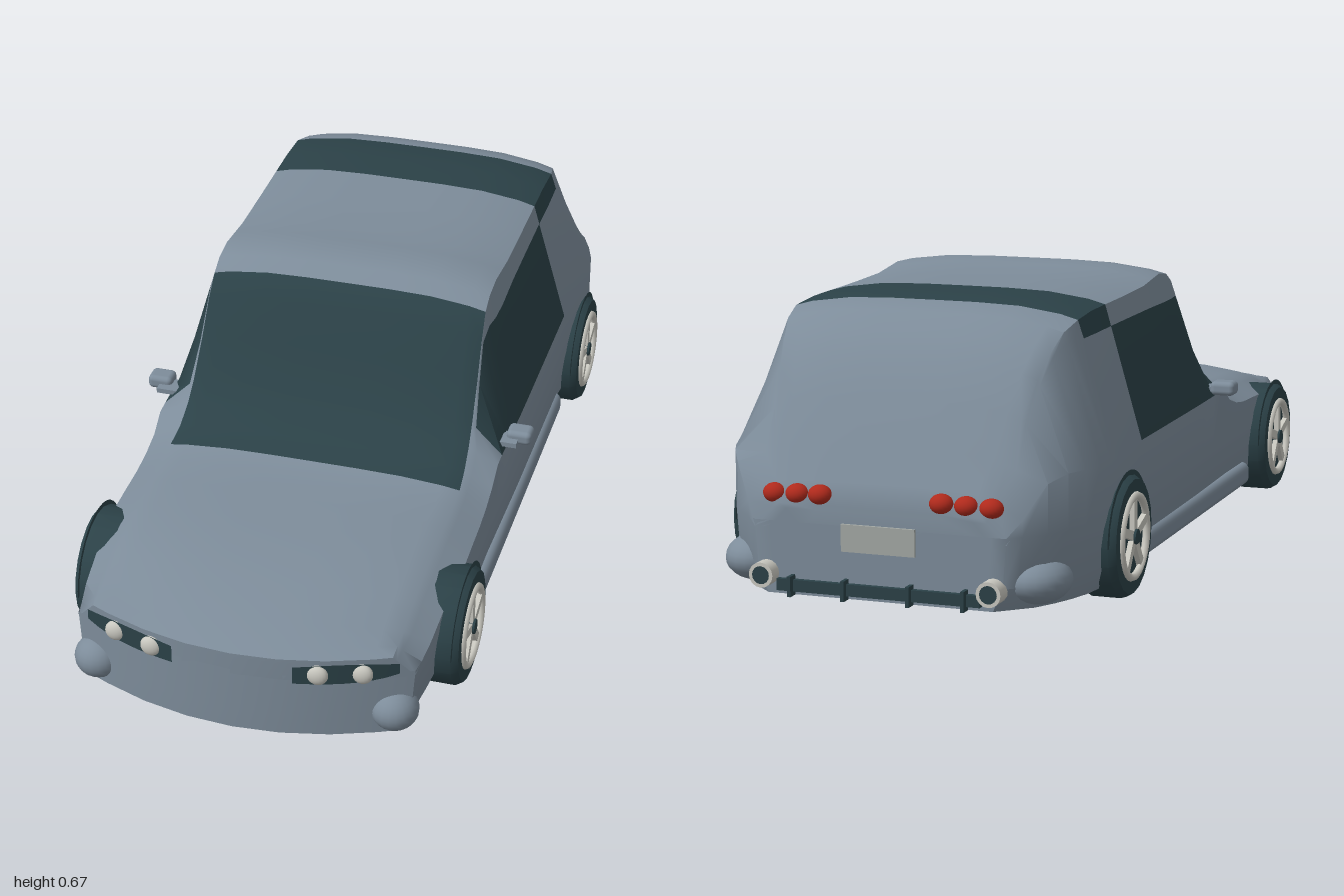
import * as THREE from 'three';
import { toCreasedNormals } from 'three/addons/utils/BufferGeometryUtils.js';
import { RoundedBoxGeometry } from 'three/addons/geometries/RoundedBoxGeometry.js';

const mat = (name, color, side = THREE.FrontSide) => {
  const m = new THREE.MeshStandardMaterial({ color, side });
  m.name = name;
  return m;
};

// Linear lookup in a table of [z, value] pairs, z falling
function look(table, z) {
  if (z >= table[0][0]) return table[0][1];
  for (let i = 1; i < table.length; i++) {
    const [z0, v0] = table[i - 1], [z1, v1] = table[i];
    if (z >= z1) return v0 + (v1 - v0) * (z0 - z) / (z0 - z1);
  }
  return table[table.length - 1][1];
}

// Body profiles along z: roof line, side half width, roof half width, crown
const TOP = [[1, .243], [.96, .256], [.9, .272], [.8, .293], [.7, .307], [.6, .314], [.42, .32], [.36, .328], [.3, .345],
  [.25, .378], [.21, .42], [.15, .505], [.1, .59], [.06, .64], [.02, .662], [-.04, .67], [-.16, .657], [-.3, .655],
  [-.54, .655], [-.635, .648], [-.7, .63], [-.75, .592], [-.8, .54], [-.85, .46], [-.9, .365], [-.94, .29], [-.965, .24]];
const SIDE = [[1, .39], [.9, .402], [.6, .418], [.3, .415], [0, .42], [-.445, .422], [-.6, .437], [-.7, .435],
  [-.76, .425], [-.83, .4], [-.9, .36], [-.965, .29]];
const ROOF = [[1, .345], [.36, .352], [.06, .333], [-.635, .335], [-.7, .325], [-.8, .3], [-.9, .265], [-.965, .235]];
const CROWN = [[1, 0], [.9, .02], [.36, .016], [.06, .024], [-.635, .028], [-.8, .03], [-.9, .02], [-.965, 0]];
const STATIONS = [1, .96, .9, .8, .7, .6, .5, .42, .36, .3, .25, .21, .15, .1, .06, .02, -.04, -.1, -.16, -.3,
  -.445, -.54, -.635, -.67, -.7, -.75, -.8, -.85, -.9, -.94, -.965];
const ACROSS = [0, .3, .6, .88, 1];

// The nose sweeps back towards its corners
const sweep = (x, z) => z - .11 * (x / .4) ** 2 * Math.max(0, (z - .5) / .5);

// Half cross-section from the middle of the floor to the middle of the roof
function halfSection(z) {
  const T = look(TOP, z), W = look(SIDE, z), R = look(ROOF, z), C = look(CROWN, z);
  const edge = T - C, belt = Math.min(.325, T - .055), glassTop = Math.min(.58, edge - .01);
  const f = (glassTop - belt) / (edge - belt);
  return [
    ...ACROSS.map(t => [t * (W - .03), .04]),
    [W - .008, .09], [W, .2], [W, belt], [W + (R - W) * f, glassTop],
    ...ACROSS.slice().reverse().map(t => [t * R, T - C * t ** 4]),
  ];
}

function bodyGeometry() {
  const pos = [], paint = [], glass = [];
  const add = (x, y, z) => pos.push(x, y, sweep(x, z)) / 3 - 1;
  const rings = STATIONS.map(z => {
    const half = halfSection(z);
    const ring = [...half, ...half.slice(1, -1).reverse().map(([x, y]) => [-x, y])];
    return ring.map(([x, y]) => add(x, y, z));
  });
  const n = rings[0].length;
  for (let s = 0; s < rings.length - 1; s++) {
    const zm = (STATIONS[s] + STATIONS[s + 1]) / 2;
    for (let i = 0; i < n; i++) {
      const h = Math.min(i, n - 1 - i), j = (i + 1) % n;
      const isGlass = (h === 7 && zm < .21 && zm > -.445)      // side windows
        || (h >= 9 && zm < .36 && zm > .06)                    // windscreen
        || (h >= 8 && zm < -.445 && zm > -.635);               // rear roof band
      const [a, b, c, d] = [rings[s][i], rings[s + 1][i], rings[s + 1][j], rings[s][j]];
      (isGlass ? glass : paint).push(a, b, c, a, c, d);
    }
  }
  // Nose and tail faces
  const cols = [...ACROSS.slice(1).reverse().map(t => -t), ...ACROSS];
  for (const [z, front] of [[1, true], [-.965, false]]) {
    const rows = halfSection(z).slice(4, 10).map(([x, y]) => cols.map(t => add(x * t, y, z)));
    for (let r = 0; r < rows.length - 1; r++) for (let c = 0; c < cols.length - 1; c++) {
      const [p, q, u, v] = [rows[r][c], rows[r][c + 1], rows[r + 1][c + 1], rows[r + 1][c]];
      paint.push(...(front ? [p, q, u, p, u, v] : [p, u, q, p, v, u]));
    }
  }
  const g = new THREE.BufferGeometry();
  g.setAttribute('position', new THREE.Float32BufferAttribute(pos, 3));
  g.setIndex([...paint, ...glass]);
  g.addGroup(0, paint.length, 0);
  g.addGroup(paint.length, glass.length, 1);
  return toCreasedNormals(g, .75);
}

export function createModel() {
  const paint = mat('body paint', 0x7d8c9a);
  const dark = mat('dark glass and rubber', 0x2b4147, THREE.DoubleSide);
  const light = mat('light metal', 0xc9c8c0);
  const red = mat('red lamp', 0xb02a1c);
  const plateMat = mat('plate grey', 0xa3a8a4);

  const car = new THREE.Group();
  car.name = 'car';
  const put = (name, geo, material, x = 0, y = 0, z = 0, parent = car) => {
    const m = new THREE.Mesh(geo, material);
    m.name = name;
    m.position.set(x, y, z);
    parent.add(m);
    return m;
  };

  put('body', bodyGeometry(), [paint, dark]);

  // Wheels: axis along x, outer face towards +x
  const tyreGeo = toCreasedNormals(new THREE.LatheGeometry(
    [[.02, -.05], [.125, -.05], [.138, -.034], [.138, .034], [.128, .05], [.098, .05], [.094, .04], [0, .04]]
      .map(p => new THREE.Vector2(...p)), 20).rotateZ(-Math.PI / 2), .6);
  const rimGeo = new THREE.TorusGeometry(.091, .009, 8, 28).rotateY(Math.PI / 2);
  const hubGeo = new THREE.CylinderGeometry(.017, .02, .022, 12).rotateZ(-Math.PI / 2);
  const spokeGeo = new THREE.BoxGeometry(.012, .075, .02).translate(0, .052, 0);
  const archGeo = new THREE.CircleGeometry(.147, 24, 0, Math.PI).rotateY(Math.PI / 2);
  for (const side of [1, -1]) for (const [end, z, x] of [['front', .63, .402], ['rear', -.6, .405]]) {
    const wheel = new THREE.Group();
    wheel.name = end + 'Wheel';
    wheel.position.set(side * x, .14, z);
    wheel.rotation.y = side > 0 ? 0 : Math.PI;
    put('tyre', tyreGeo, dark, 0, 0, 0, wheel);
    put('rim', rimGeo, light, .05, 0, 0, wheel);
    put('hub', hubGeo, dark, .048, 0, 0, wheel);
    for (let i = 0; i < 5; i++) put('spoke', spokeGeo, light, .048, 0, 0, wheel).rotation.x = i * Math.PI * .4;
    put('wheelArch', archGeo, dark, .037, 0, 0, wheel);
    car.add(wheel);
  }

  const ball = new THREE.SphereGeometry(1, 20, 14);
  const sillGeo = new RoundedBoxGeometry(.05, .058, .9, 3, .02);
  const mirrorGeo = new RoundedBoxGeometry(.06, .034, .05, 3, .012);
  const pipeGeo = new THREE.CylinderGeometry(.028, .028, .065, 16).rotateX(Math.PI / 2);
  const boreGeo = new THREE.CircleGeometry(.02, 16).rotateY(Math.PI);
  for (const s of [1, -1]) {
    put('sill', sillGeo, paint, s * .402, .076, .01);
    // Door mirror on a short arm
    put('mirror', mirrorGeo, paint, s * .445, .348, .145);
    put('mirrorArm', new THREE.BoxGeometry(.05, .012, .05), paint, s * .42, .342, .165);
    // Bumper corner bulges
    put('frontBumperBulge', ball, paint, s * .345, .092, .9).scale.set(.055, .05, .055);
    put('rearBumperBulge', ball, paint, s * .325, .095, -.865).scale.set(.075, .053, .085);

    // Headlight panel bent round the nose, tapering outwards
    const panel = new THREE.PlaneGeometry(.222, .05, 8, 1);
    const p = panel.attributes.position;
    for (let i = 0; i < p.count; i++) {
      const t = p.getX(i) / .222 * s + .5, x = s * (.138 + .222 * t);
      const y = p.getY(i) > 0 ? .226 + .008 * Math.sin(t * Math.PI) : .182 + .018 * t ** 4;
      p.setXYZ(i, x, y, sweep(x, 1) + .003);
    }
    panel.computeVertexNormals();
    put('headlightPanel', panel, dark);
    for (const x of [.19, .283]) put('headlight', ball, light, s * x, .206, sweep(x, 1)).scale.set(.025, .025, .015);

    // Tail lamps and exhaust
    for (const x of [.14, .195, .25])
      put('tailLamp', ball, red, s * x, .262 - (x - .14) * .04, -.953 + (x - .14) * .08).scale.set(.027, .022, .024);
    put('exhaust', pipeGeo, light, s * .262, .085, -.9675);
    put('exhaustBore', boreGeo, dark, s * .262, .085, -1.0005);
    for (const x of [.075, .2]) put('diffuserFin', new THREE.BoxGeometry(.008, .045, .04), dark, s * x, .062, -.972);
  }

  put('diffuser', new THREE.BoxGeometry(.47, .026, .02), dark, 0, .062, -.968);
  put('rearPlate', new THREE.BoxGeometry(.17, .06, .008), plateMat, 0, .175, -.968);
  return car;
}
